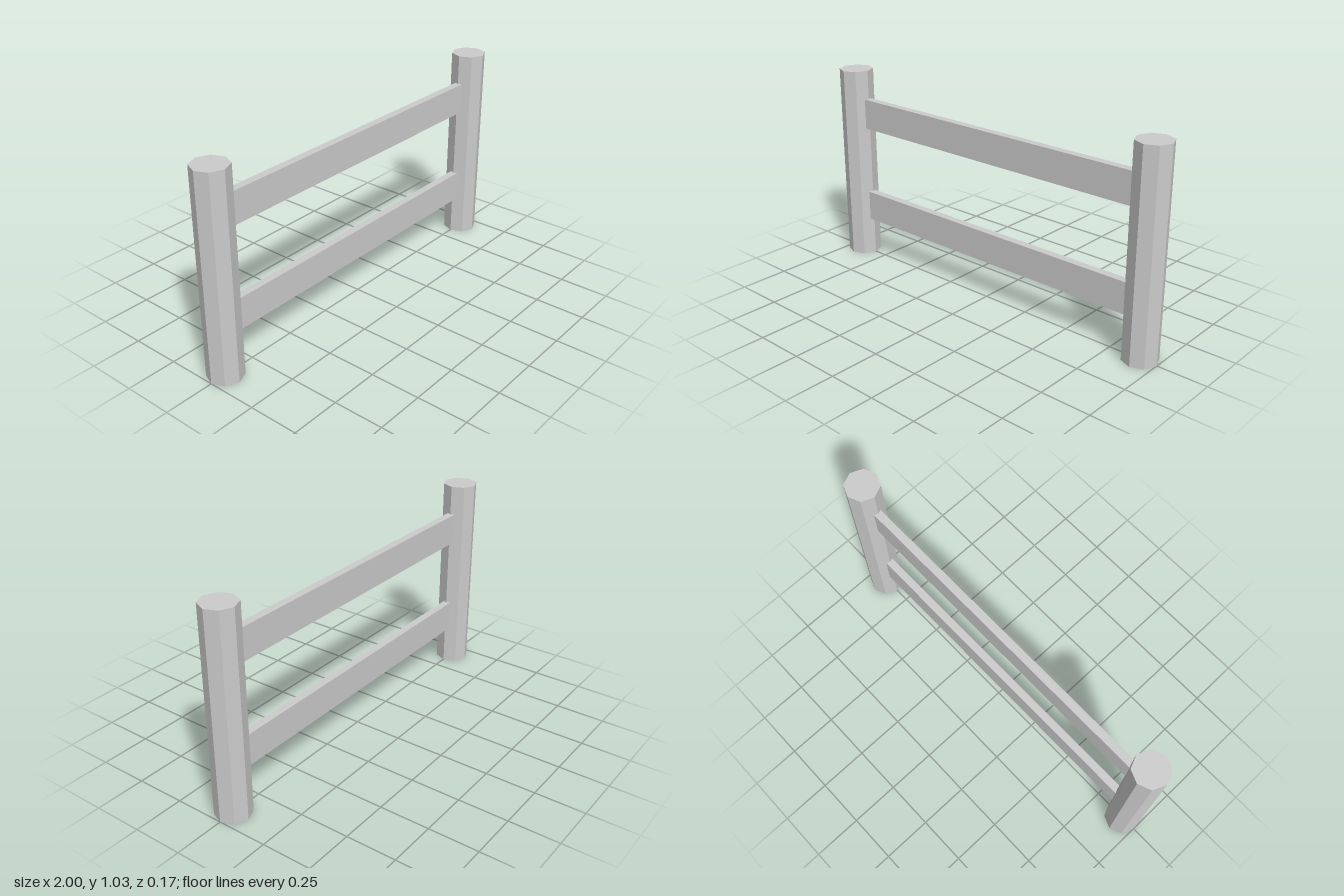
import * as THREE from 'three';

const POST_RADIUS = 0.087;
const POST_HEIGHT = 1.026;
const POST_X = 1 - POST_RADIUS;

export function createModel() {
  const fence = new THREE.Group();
  fence.name = 'fence';
  const material = new THREE.MeshStandardMaterial({ color: 0xcccccc, flatShading: true });

  const add = (name, geometry, x, y) => {
    const mesh = new THREE.Mesh(geometry, material);
    mesh.name = name;
    mesh.position.set(x, y, 0);
    fence.add(mesh);
  };

  // Octagonal posts, with corners pointing along x and z
  const post = new THREE.CylinderGeometry(POST_RADIUS, POST_RADIUS, POST_HEIGHT, 8);
  add('leftPost', post, POST_X, POST_HEIGHT / 2);
  add('rightPost', post, -POST_X, POST_HEIGHT / 2);

  // Flat rails, with their ends set into the posts
  const rail = new THREE.BoxGeometry(2 * POST_X - 0.06, 0.158, 0.04);
  add('lowerRail', rail, 0, 0.28);
  add('upperRail', rail, 0, 0.796);

  return fence;
}
